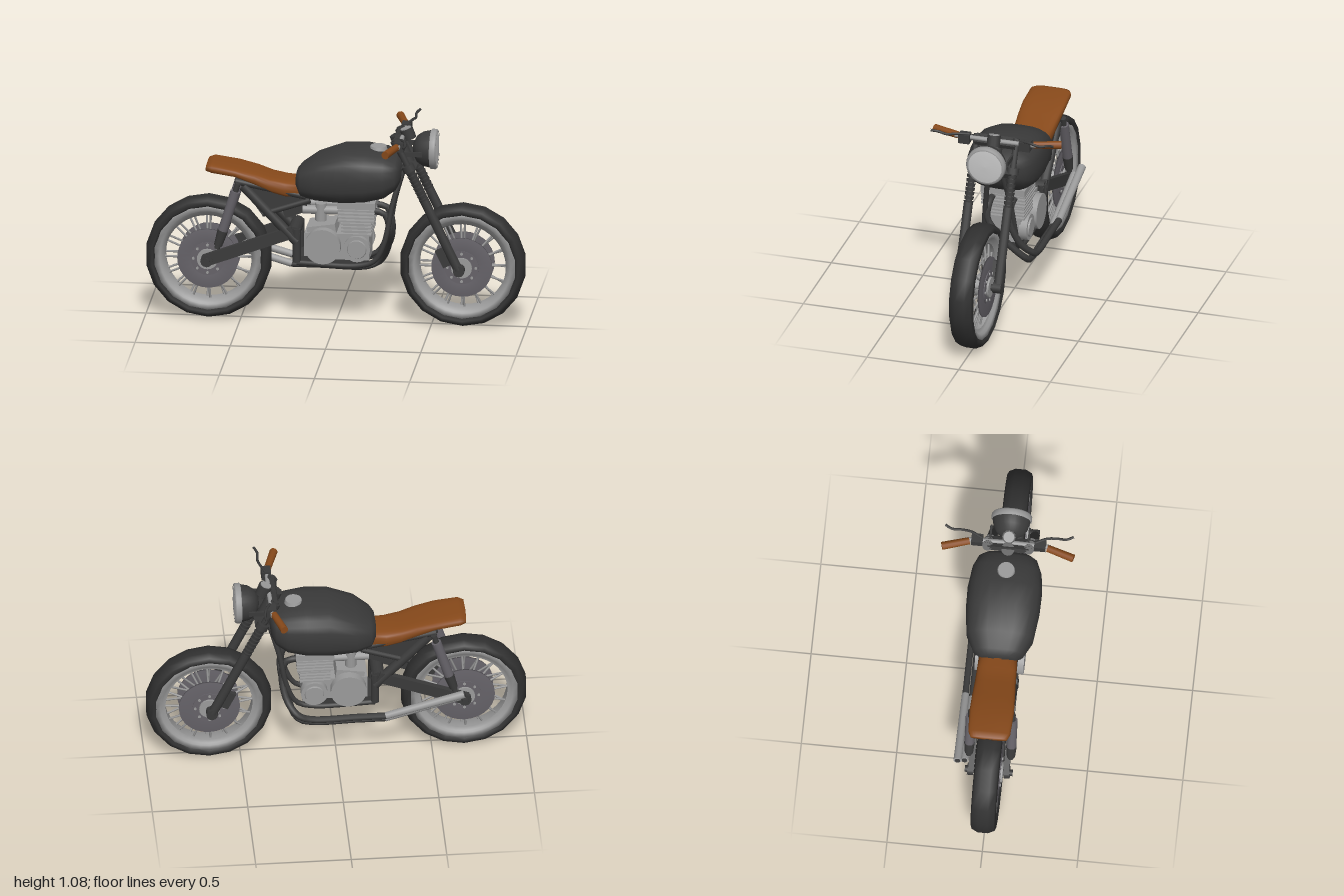
import * as THREE from 'three';

const mat = (name, color, side = THREE.FrontSide) => {
  const m = new THREE.MeshStandardMaterial({ color, side });
  m.name = name;
  return m;
};
const M = {
  black: mat('black paint', 0x3a3a3a),
  tyre: mat('tyre rubber', 0x303030),
  leather: mat('brown leather', 0x87491a),
  alloy: mat('alloy', 0x9a9a9a),
  steel: mat('dark steel', 0x656268),
  lens: mat('lens glass', 0xc6c6c6),
};
const V = (x, y, z) => new THREE.Vector3(x, y, z);

export function createModel() {
  const root = new THREE.Group();
  root.name = 'motorcycle';
  const add = (name, geo, m, parent = root) => {
    const o = new THREE.Mesh(geo, m);
    o.name = name;
    parent.add(o);
    return o;
  };
  const box = (name, m, size, pos, rz = 0, parent = root) => {
    const o = add(name, new THREE.BoxGeometry(...size), m, parent);
    o.position.set(...pos);
    o.rotation.z = rz;
    return o;
  };
  // Straight round bar from a to b
  const rod = (name, m, a, b, r0, r1 = r0, parent = root, seg = 12) => {
    const p = V(...a), q = V(...b), d = q.clone().sub(p);
    const o = add(name, new THREE.CylinderGeometry(r1, r0, d.length(), seg), m, parent);
    o.position.copy(p).add(q).multiplyScalar(0.5);
    o.quaternion.setFromUnitVectors(V(0, 1, 0), d.normalize());
    return o;
  };
  const pipe = (name, m, pts, r) => {
    const c = new THREE.CatmullRomCurve3(pts.map(p => V(...p)), false, 'centripetal');
    return add(name, new THREE.TubeGeometry(c, 28, r, 8), m);
  };
  // Rounded body through sections [x, bottom, top, halfWidth]
  const loft = (name, m, sections, power) => {
    const n = 24, pos = [], idx = [];
    const f = v => Math.sign(v) * Math.abs(v) ** power;
    for (const [x, lo, hi, w] of sections)
      for (let j = 0; j < n; j++) {
        const t = j / n * Math.PI * 2;
        pos.push(x, (lo + hi) / 2 + f(Math.sin(t)) * (hi - lo) / 2, f(Math.cos(t)) * w);
      }
    for (let i = 0; i < sections.length - 1; i++)
      for (let j = 0; j < n; j++) {
        const a = i * n + j, b = i * n + (j + 1) % n;
        idx.push(a, a + n, b, b, a + n, b + n);
      }
    const g = new THREE.BufferGeometry();
    g.setAttribute('position', new THREE.Float32BufferAttribute(pos, 3));
    g.setIndex(idx);
    g.computeVertexNormals();
    return add(name, g, m);
  };
  const lathe = (name, m, pts, seg, parent) => {
    const o = add(name, new THREE.LatheGeometry(pts.map(p => new THREE.Vector2(...p)), seg), m, parent);
    o.rotation.x = Math.PI / 2;
    return o;
  };

  // Wheels
  const wheel = (name, x) => {
    const g = new THREE.Group();
    g.name = name;
    g.position.set(x, 0.332, 0);
    root.add(g);
    lathe('tyre', M.tyre, [[0.278, -0.05], [0.295, -0.066], [0.315, -0.058], [0.331, -0.025], [0.331, 0.025],
      [0.315, 0.058], [0.295, 0.066], [0.278, 0.05], [0.278, -0.05]], 18, g);
    lathe('rim', M.alloy, [[0.228, -0.03], [0.25, -0.035], [0.255, -0.05], [0.284, -0.055], [0.284, 0.055],
      [0.255, 0.05], [0.25, 0.035], [0.228, 0.03], [0.228, -0.03]], 36, g);
    for (let i = 0; i < 16; i++) {
      const a = i / 16 * Math.PI * 2;
      for (const s of [-1, 1]) {
        const b = a + s * 0.04;
        rod('spoke', M.alloy, [Math.cos(a) * 0.06, Math.sin(a) * 0.06, s * 0.045],
          [Math.cos(b) * 0.235, Math.sin(b) * 0.235, s * 0.012], 0.006, 0.006, g, 5);
      }
    }
    rod('hub', M.alloy, [0, 0, -0.075], [0, 0, 0.075], 0.055, 0.055, g, 20);
    rod('axle', M.black, [0, 0, -0.125], [0, 0, 0.125], 0.018, 0.018, g);
    for (const s of [-1, 1]) {
      lathe('brakeDisc', M.steel, [[0.08, s * 0.055 - 0.005], [0.16, s * 0.055 - 0.005],
        [0.16, s * 0.055 + 0.005], [0.08, s * 0.055 + 0.005], [0.08, s * 0.055 - 0.005]], 28, g);
      rod('discCarrier', M.steel, [0, 0, s * 0.052], [0, 0, s * 0.064], 0.09, 0.09, g, 20);
      for (let i = 0; i < 8; i++) {
        const a = i * Math.PI / 4, c = Math.cos(a) * 0.075, d = Math.sin(a) * 0.075;
        rod('discBolt', M.alloy, [c, d, s * 0.06], [c, d, s * 0.069], 0.008, 0.008, g, 6);
      }
    }
  };
  wheel('rearWheel', -0.67);
  wheel('frontWheel', 0.664);

  // Tank and seat
  loft('fuelTank', M.black, [[-0.21, 0.77, 0.79, 0.02], [-0.205, 0.73, 0.82, 0.09], [-0.18, 0.69, 0.85, 0.13],
    [-0.1, 0.675, 0.905, 0.175], [0.04, 0.665, 0.958, 0.193], [0.16, 0.675, 0.96, 0.195], [0.26, 0.70, 0.945, 0.182],
    [0.32, 0.745, 0.925, 0.155], [0.342, 0.79, 0.9, 0.12], [0.35, 0.84, 0.86, 0.02]], 0.72);
  rod('fuelCap', M.alloy, [0.22, 0.945, 0], [0.22, 0.966, 0], 0.048, 0.042, root, 20);
  loft('seat', M.leather, [[-0.68, 0.832, 0.838, 0.02], [-0.676, 0.815, 0.85, 0.095], [-0.645, 0.806, 0.86, 0.11],
    [-0.52, 0.79, 0.84, 0.116], [-0.42, 0.75, 0.818, 0.112], [-0.34, 0.71, 0.792, 0.107],
    [-0.26, 0.685, 0.778, 0.104], [-0.18, 0.68, 0.775, 0.1], [-0.15, 0.7, 0.76, 0.02]], 0.6);

  // Headlight
  const lamp = new THREE.Group();
  lamp.name = 'headlight';
  lamp.position.set(0.37, 0.957, 0);
  lamp.rotation.z = -Math.PI / 2;
  root.add(lamp);
  const turned = (name, m, pts) =>
    add(name, new THREE.LatheGeometry(pts.map(p => new THREE.Vector2(...p)), 28), m, lamp);
  turned('lampBowl', M.black, [[0, 0.03], [0.035, 0.035], [0.07, 0.055], [0.09, 0.085], [0.1, 0.13]]);
  turned('lampRim', M.alloy, [[0.1, 0.125], [0.106, 0.13], [0.106, 0.152], [0.1, 0.16], [0.091, 0.16]]);
  turned('lampLens', M.lens, [[0.092, 0.158], [0.06, 0.162], [0, 0.164]]);

  // Fork, steering head and bars
  const forkAt = (t, z) => [0.32 + 0.33 * t, 1.03 - 0.695 * t, z];
  for (const s of [-1, 1]) {
    const z = s * 0.108;
    rod('forkUpperTube', M.black, forkAt(-0.01, z), forkAt(0.45, z), 0.017);
    rod('forkLowerLeg', M.black, forkAt(0.46, z), forkAt(1, z), 0.025);
    rod('forkFoot', M.black, [0.655, 0.33, s * 0.085], [0.655, 0.33, s * 0.13], 0.03);
    for (let i = 0; i < 8; i++)
      rod('forkGaiterRing', M.black, forkAt(0.24 + i * 0.03, z), forkAt(0.263 + i * 0.03, z), 0.027, 0.023);
    rod('lowerClampRing', M.black, forkAt(0.19, z), forkAt(0.235, z), 0.034);
    rod('upperClampRing', M.black, forkAt(0, z), forkAt(0.04, z), 0.028);
    box('lampBracket', M.black, [0.1, 0.025, 0.01], [0.41, 0.955, s * 0.1]);
    box('brakeCaliper', M.black, [0.06, 0.1, 0.025], [0.575, 0.39, s * 0.072], 0.45);
    // Controls
    rod('handlebar', M.alloy, [0.35, 1.025, 0], [0.345, 1.025, s * 0.22], 0.012);
    rod('grip', M.leather, [0.338, 1.024, s * 0.205], [0.295, 1.024, s * 0.345], 0.019, 0.021);
    box('switchBox', M.black, [0.05, 0.05, 0.06], [0.35, 1.02, s * 0.165]);
    pipe('lever', M.black, [[0.355, 1.045, s * 0.14], [0.38, 1.052, s * 0.2], [0.388, 1.045, s * 0.25],
      [0.385, 1.053, s * 0.3], [0.4, 1.062, s * 0.337]], 0.007);
  }
  rod('steeringHead', M.black, [0.31, 1.03, 0], [0.39, 0.85, 0], 0.035);
  box('upperYoke', M.black, [0.06, 0.025, 0.22], [0.335, 1.015, 0], -0.44);
  box('lowerYoke', M.black, [0.07, 0.035, 0.22], [0.39, 0.88, 0], -0.44);
  rod('gaugeCase', M.black, [0.385, 1.01, 0], [0.365, 1.064, 0], 0.036);
  rod('gaugeFace', M.alloy, [0.366, 1.06, 0], [0.363, 1.068, 0], 0.029);

  // Frame, swingarm and rear shocks
  for (const s of [-1, 1]) {
    const z = s * 0.085;
    pipe('cradleTube', M.black, [[0.36, 0.87, s * 0.03], [0.3, 0.66, s * 0.065], [0.26, 0.46, z], [0.21, 0.36, z],
      [0.13, 0.33, z], [-0.2, 0.335, z]], 0.014);
    rod('rearFrameTube', M.black, [-0.2, 0.34, z], [-0.2, 0.52, z], 0.022);
    rod('seatStay', M.black, [-0.2, 0.45, z], [-0.48, 0.745, z], 0.026);
    rod('seatRail', M.black, [-0.52, 0.77, z], [-0.15, 0.7, z], 0.018);
    rod('sideBrace', M.black, [-0.38, 0.595, z], [-0.13, 0.68, z], 0.016);
    const shape = new THREE.Shape([[-0.5, 0.76], [-0.38, 0.59], [-0.14, 0.68], [-0.2, 0.74]]
      .map(p => new THREE.Vector2(...p)));
    add('sidePanel', new THREE.ExtrudeGeometry(shape, { depth: 0.012, bevelEnabled: false }), M.black)
      .position.z = z - 0.006;
    box('swingarm', M.black, [0.5, 0.062, 0.03], [-0.45, 0.418, s * 0.092], 0.36);
    rod('swingarmEnd', M.black, [-0.67, 0.333, s * 0.08], [-0.67, 0.333, s * 0.112], 0.033);
    const shock = t => [-0.505 - 0.11 * t, 0.765 - 0.36 * t, s * 0.11];
    rod('shockRod', M.black, shock(0), shock(1), 0.015);
    rod('shockBody', M.steel, shock(0.12), shock(0.72), 0.026);
    rod('shockLowerCup', M.black, shock(0.72), shock(0.95), 0.028, 0.022);
    // Engine side covers and foot peg
    rod('clutchCover', M.alloy, [-0.06, 0.438, s * 0.08], [-0.06, 0.438, s * 0.128], 0.094, 0.094, root, 28);
    rod('generatorCover', M.alloy, [0.12, 0.43, s * 0.08], [0.12, 0.43, s * 0.122], 0.07, 0.07, root, 24);
    rod('generatorCap', M.alloy, [0.12, 0.43, s * 0.12], [0.12, 0.43, s * 0.13], 0.052, 0.048, root, 24);
    rod('carburettor', M.alloy, [-0.075, 0.565, s * 0.06], [-0.075, 0.66, s * 0.06], 0.03);
    rod('intake', M.alloy, [-0.17, 0.622, s * 0.06], [0.04, 0.622, s * 0.06], 0.024);
  }
  rod('swingarmPivot', M.black, [-0.215, 0.5, -0.1], [-0.215, 0.5, 0.1], 0.035);
  rod('spineTube', M.black, [0.36, 0.87, 0], [-0.2, 0.72, 0], 0.03);
  box('seatPan', M.black, [0.16, 0.025, 0.16], [-0.45, 0.75, 0], -0.25);
  box('batteryBox', M.black, [0.13, 0.12, 0.14], [-0.22, 0.65, 0], 0.35);

  // Engine
  box('crankcase', M.alloy, [0.34, 0.14, 0.17], [0.01, 0.43, 0]);
  box('sump', M.black, [0.36, 0.045, 0.17], [-0.01, 0.35, 0]);
  box('gearboxTop', M.alloy, [0.15, 0.06, 0.16], [-0.07, 0.51, 0], 0.15);
  box('cylinderBlock', M.alloy, [0.13, 0.2, 0.18], [0.11, 0.58, 0]);
  for (let i = 0; i < 8; i++)
    box('coolingFin', M.alloy, [i < 4 ? 0.16 : 0.19, 0.009, i < 4 ? 0.22 : 0.24], [0.115, 0.505 + i * 0.019, 0]);
  box('cylinderHead', M.alloy, [0.2, 0.035, 0.24], [0.115, 0.665, 0]);
  box('camCover', M.alloy, [0.14, 0.03, 0.2], [0.115, 0.695, 0]);

  // Twin exhaust, both pipes swept to the right side
  const exhaust = (z0, z1, y, x) => {
    pipe('exhaustPipe', M.black, [[0.2, 0.625, z0], [0.26, 0.61, z0], [0.285, 0.53, z0], [0.265, 0.4, (z0 + z1) / 2],
      [0.21, y + 0.03, z1], [0.14, y, z1], [-0.1, y, z1], [-0.26, y, z1]], 0.018);
    rod('muffler', M.alloy, [-0.25, y, z1], [x, y + 0.115, z1], 0.019, 0.021, root, 16);
    rod('mufflerTip', M.black, [x, y + 0.115, z1], [x - 0.004, y + 0.1165, z1], 0.014);
  };
  exhaust(0.06, -0.13, 0.26, -0.64);
  exhaust(-0.06, -0.165, 0.3, -0.66);
  return root;
}
